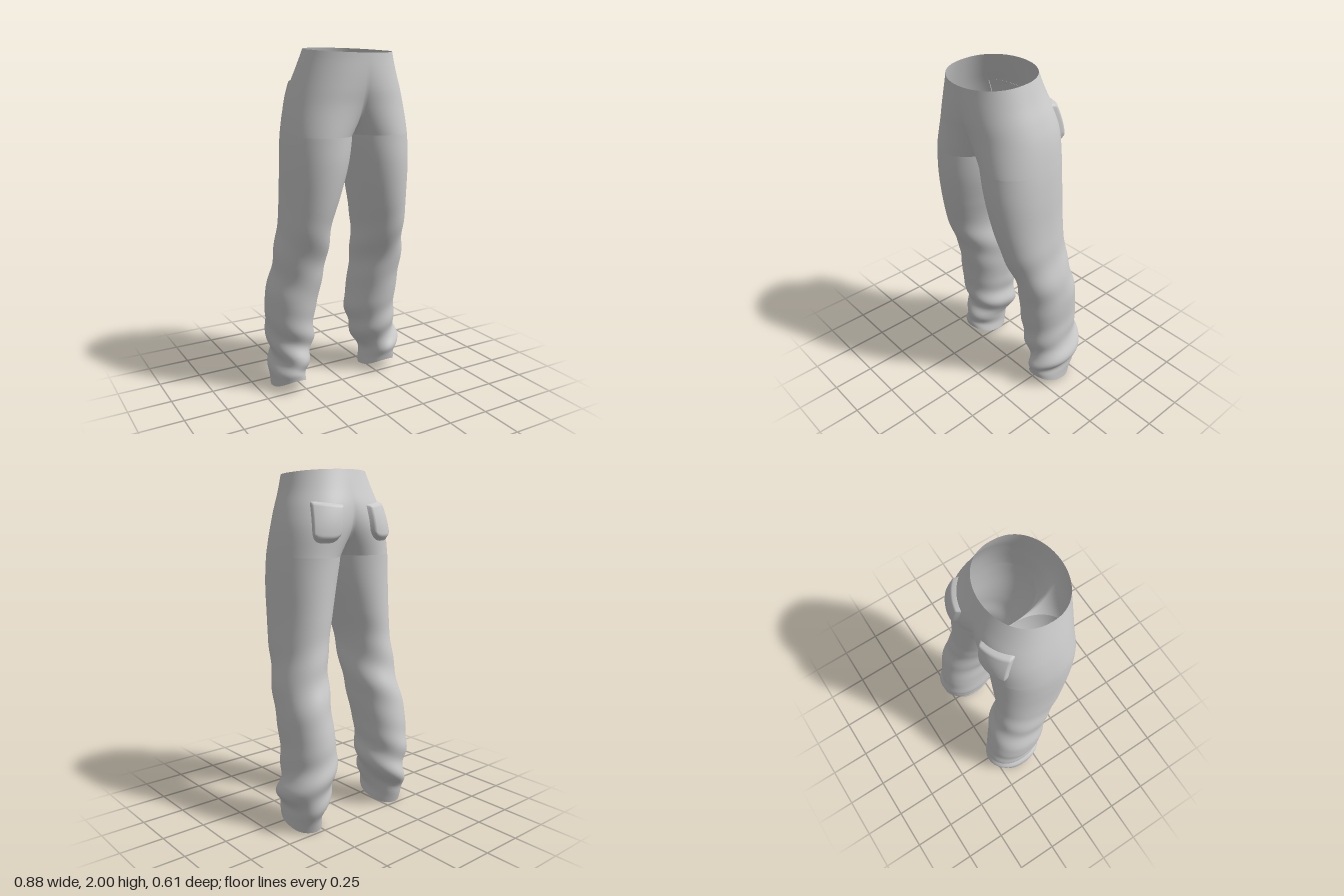
import * as THREE from 'three';
import { mergeVertices } from 'three/addons/utils/BufferGeometryUtils.js';

const MID = -0.015;    // x of the centre seam
const CROTCH = 1.53;   // height where the legs part

// y, front z, back z, right outer x, right inner x, left outer x, left inner x
const ROWS = [
  [0.00, 0.05, -0.235, -0.42, -0.23, 0.395, 0.205],
  [0.10, 0.06, -0.265, -0.42, -0.235, 0.40, 0.215],
  [0.20, 0.05, -0.295, -0.41, -0.19, 0.432, 0.175],
  [0.30, 0.048, -0.30, -0.42, -0.17, 0.418, 0.14],
  [0.40, 0.06, -0.295, -0.435, -0.17, 0.40, 0.12],
  [0.60, 0.09, -0.275, -0.437, -0.145, 0.406, 0.125],
  [0.75, 0.115, -0.245, -0.41, -0.12, 0.41, 0.128],
  [0.90, 0.17, -0.21, -0.40, -0.12, 0.385, 0.11],
  [1.05, 0.22, -0.192, -0.388, -0.118, 0.37, 0.085],
  [1.20, 0.255, -0.19, -0.385, -0.08, 0.36, 0.052],
  [1.38, 0.28, -0.19, -0.385, -0.035, 0.355, 0.013],
  [CROTCH, 0.285, -0.193, -0.378, MID, 0.345, MID],
  [1.70, 0.288, -0.205, -0.35, MID, 0.32, MID],
  [1.80, 0.297, -0.192, -0.325, MID, 0.293, MID],
  [1.90, 0.303, -0.162, -0.295, MID, 0.258, MID],
  [2.00, 0.305, -0.132, -0.263, MID, 0.228, MID],
];
const profile = new THREE.CubicInterpolant(
  new Float32Array(ROWS.map(r => r[0])), new Float32Array(ROWS.flatMap(r => r.slice(1))), 5 + 1);

const smooth = THREE.MathUtils.smoothstep;

// Elliptical section of one half; above the crotch it is cut off by the centre plane
function section(side, y) {
  const [zf, zb, ro, ri, lo, li] = profile.evaluate(y);
  const outer = side < 0 ? ro : lo;
  let rx, cx, limit = Math.PI;
  if (y >= CROTCH) {
    const k = Math.min(1, Math.pow(Math.max(0, (2 - y) / (2 - CROTCH)), 1.5));
    rx = Math.abs(outer - MID) / (1 + k);
    cx = MID + side * k * rx;
    limit = Math.acos(-k);
  } else {
    const inner = side < 0 ? ri : li;
    rx = Math.abs(outer - inner) / 2;
    cx = (outer + inner) / 2;
  }
  return { rx, cx, limit, cz: (zf + zb) / 2, rz: (zf - zb) / 2 };
}

// Point of the cloth at height y and angle a (0 = outer side, +90 degrees = front)
function clothPoint(side, y, a, lift = 0) {
  const { rx, cx, cz, rz } = section(side, y);
  const c = Math.cos(a), s = Math.sin(a);
  // soft folds at the knee and stacked creases above the hem
  const knee = smooth(y, 0.5, 0.8) * (1 - smooth(y, 0.85, 1.15));
  const ankle = smooth(y, 0.04, 0.15) * (1 - smooth(y, 0.25, 0.55));
  const fold = 0.005 * knee * Math.sin(24 * y + 2 * a)
    + 0.011 * ankle * Math.sin(30 * y + 2 * a + side) + lift;
  const front = (1 + s) / 2;
  const hem = Math.pow(Math.max(0, 1 - y / 0.4), 2);
  return [
    cx + side * (rx + fold) * c,
    y + 0.09 * hem * front * front - 0.035 * front * smooth(y, 1.6, 2),
    cz + (rz + fold) * Math.sign(s) * Math.pow(Math.abs(s), 0.88),
  ];
}

// Grid of points to triangles, facing outwards on either side
function addGrid(pos, index, rows, cols, side, pointAt) {
  const base = pos.length / 3;
  for (let i = 0; i <= rows; i++)
    for (let j = 0; j <= cols; j++) pos.push(...pointAt(i, j));
  for (let i = 0; i < rows; i++)
    for (let j = 0; j < cols; j++) {
      const p = base + i * (cols + 1) + j, q = p + 1, u = p + cols + 1, v = u + 1;
      if (side > 0) index.push(p, u, q, q, u, v);
      else index.push(p, q, u, q, v, u);
    }
}

function toMesh(name, pos, index, material) {
  let g = new THREE.BufferGeometry();
  g.setAttribute('position', new THREE.Float32BufferAttribute(pos, 3));
  g.setIndex(index);
  g = mergeVertices(g, 1e-4);
  g.computeVertexNormals();
  const mesh = new THREE.Mesh(g, material);
  mesh.name = name;
  return mesh;
}

export function createModel() {
  const group = new THREE.Group();
  group.name = 'trousers';
  const cloth = new THREE.MeshStandardMaterial({ color: 0xcccccc, side: THREE.DoubleSide });

  // Legs and seat: two halves joined along the centre seam
  const levels = [];
  for (let i = 0; i < 90; i++) levels.push(CROTCH * i / 90);
  for (let i = 0; i <= 45; i++) levels.push(CROTCH + (2 - CROTCH) * (i / 45) ** 2);
  const pos = [], index = [], cols = 64;
  for (const side of [-1, 1])
    addGrid(pos, index, levels.length - 1, cols, side, (i, j) => {
      const y = levels[i];
      return clothPoint(side, y, section(side, y).limit * (2 * j / cols - 1));
    });
  group.add(toMesh('legsAndSeat', pos, index, cloth));

  // Back pockets: raised patches with a rounded lower edge and a crisp top opening
  for (const side of [-1, 1]) {
    const p = [], idx = [], n = 28;
    addGrid(p, idx, n, n, side, (i, j) => {
      const u = j / n, v = i / n, e = Math.abs(2 * u - 1);
      const bottom = 1.6 + 0.05 * e ** 4, top = 1.81 + 0.025 * u;
      const y = bottom + (top - bottom) * v;
      const a = THREE.MathUtils.lerp(-1.5, -0.65, u) - 0.22 * (1 - v);
      const rise = smooth(1 - e, 0, 0.22) * smooth(v, 0, 0.2) * (1 - smooth(v, 0.95, 1));
      return clothPoint(side, y, a, 0.026 * rise - 0.003);
    });
    group.add(toMesh(side < 0 ? 'rightBackPocket' : 'leftBackPocket', p, idx, cloth));
  }
  return group;
}
